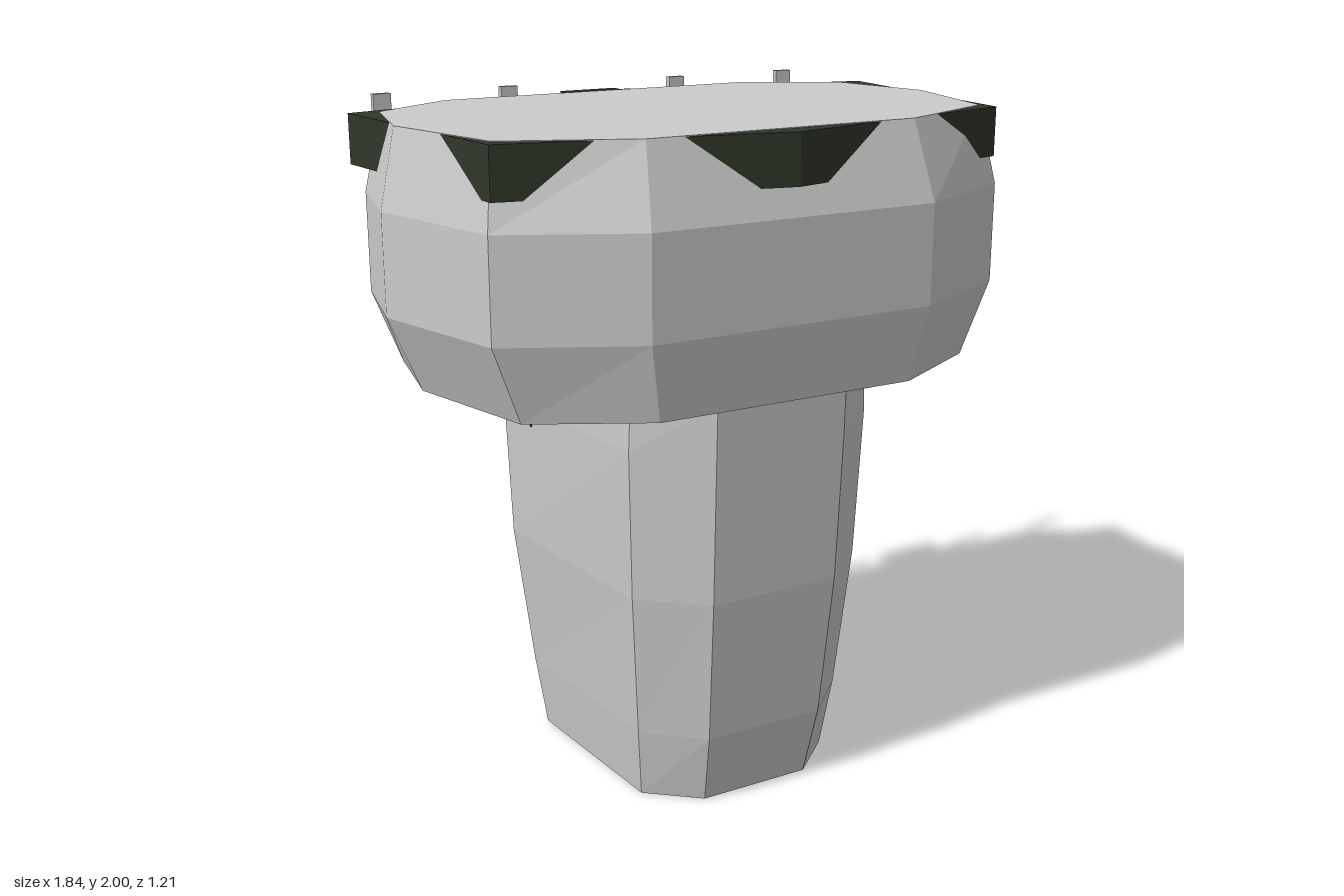
import * as THREE from 'three';

// Solid lofted through horizontal rings; each ring is [y, half outline of [x, z] from front to back].
function loft(rings) {
  const loops = rings.map(([y, half]) => {
    const mirrored = half.filter(([x]) => x > 0).reverse().map(([x, z]) => [-x, z]);
    return [...half, ...mirrored].map(([x, z]) => [x, y, z]);
  });
  const n = loops[0].length;
  const pos = [];
  const tri = (a, b, c) => pos.push(...a, ...b, ...c);
  for (let r = 0; r < loops.length - 1; r++) {
    const lo = loops[r], hi = loops[r + 1];
    for (let i = 0; i < n; i++) {
      const j = (i + 1) % n;
      tri(lo[i], lo[j], hi[j]);
      tri(lo[i], hi[j], hi[i]);
    }
  }
  const bottom = loops[0], top = loops[loops.length - 1];
  for (let i = 1; i < n - 1; i++) {
    tri(bottom[0], bottom[i + 1], bottom[i]);
    tri(top[0], top[i], top[i + 1]);
  }
  const geo = new THREE.BufferGeometry();
  geo.setAttribute('position', new THREE.Float32BufferAttribute(pos, 3));
  geo.computeVertexNormals();
  return geo;
}

export function createModel() {
  const group = new THREE.Group();
  const grey = new THREE.MeshStandardMaterial({ color: 0xcbcbcb });
  grey.name = 'light grey';
  const dark = new THREE.MeshStandardMaterial({ color: 0x30372a });
  dark.name = 'dark olive';

  const add = (name, geo, mat, x = 0, y = 0, z = 0) => {
    const mesh = new THREE.Mesh(geo, mat);
    mesh.name = name;
    mesh.position.set(x, y, z);
    group.add(mesh);
    return mesh;
  };
  const box = (name, mat, [w, h, d], [x, y, z]) =>
    add(name, new THREE.BoxGeometry(w, h, d), mat, x, y, z);

  // Tapered eight-sided stem
  add('stem', loft([
    [0, [[0.175, 0.42], [0.32, 0.295], [0.355, -0.27], [0.17, -0.42]]],
    [0.22, [[0.19, 0.47], [0.345, 0.325], [0.385, -0.29], [0.185, -0.45]]],
    [0.66, [[0.205, 0.515], [0.38, 0.36], [0.435, -0.315], [0.2, -0.485]]],
    [1.1, [[0.21, 0.535], [0.395, 0.375], [0.447, -0.33], [0.21, -0.497]]],
    [1.26, [[0.21, 0.54], [0.39, 0.378], [0.44, -0.333], [0.21, -0.5]]],
  ]), grey);

  // Wide ten-sided head
  const wide = [[0.445, 0.602], [0.81, 0.42], [0.92, -0.03], [0.84, -0.365], [0.55, -0.55]];
  add('head', loft([
    [1.24, [[0.405, 0.57], [0.725, 0.4], [0.825, -0.03], [0.755, -0.355], [0.51, -0.53]]],
    [1.46, wide],
    [1.75, wide],
    [1.975, [[0.42, 0.53], [0.775, 0.375], [0.873, -0.03], [0.795, -0.345], [0.525, -0.517]]],
  ]), grey);

  // Six-sided collar whose corners break through the head's upper slope
  const collar = [[0, 0.6], [0.8, 0.42], [0.878, -0.37], [0, -0.565]];
  add('collar', loft([[1.83, collar], [1.973, collar]]), dark);

  // Fittings on the back of the head
  box('backBox', dark, [0.19, 0.13, 0.05], [0, 1.905, -0.585]);
  const rod = box('backRod', dark, [0.02, 0.5, 0.015], [0.055, 1.57, -0.566]);
  rod.rotation.x = -0.05;
  for (const side of [-1, 1]) {
    for (const x of [0.295, 0.705]) {
      box('backPeg', grey, [0.055, 0.19, 0.02], [side * x, 1.905, -0.567]);
    }
    // Brackets under the head, and small side marks on the stem
    box('underBracket', dark, [0.06, 0.12, 0.06], [side * 0.31, 1.195, -0.455]);
    const mark = box('sideMark', dark, [0.008, 0.028, 0.007], [side * 0.433, 1.05, -0.172]);
    mark.rotation.x = -0.6;
  }
  return group;
}
